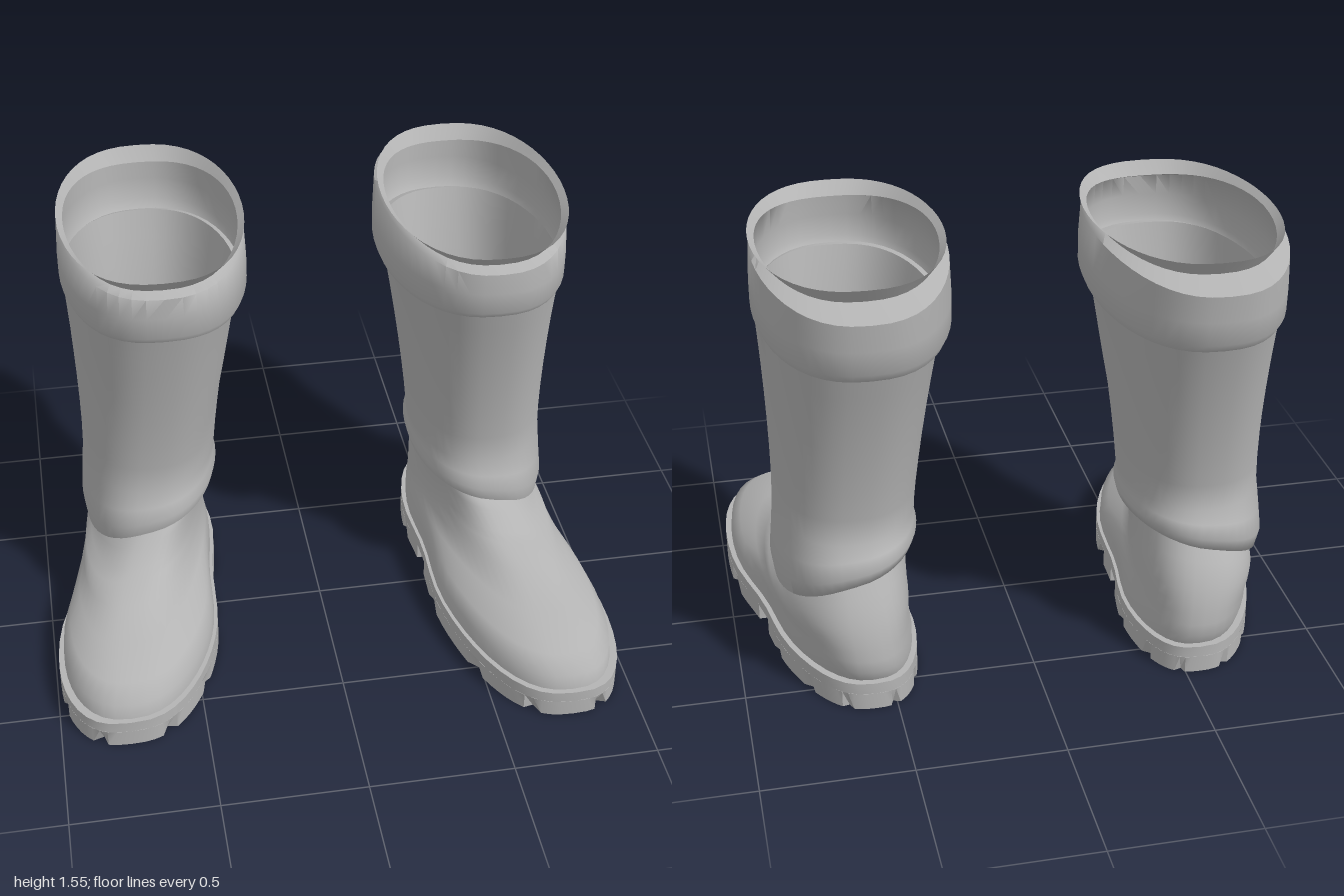
import * as THREE from 'three';
import { toCreasedNormals } from 'three/addons/utils/BufferGeometryUtils.js';

const SEG = 48;
const { lerp, smoothstep } = THREE.MathUtils;

// Egg-shaped ring: y, z, x and half width at its front (f) and back (b);
// sag lowers both sides, side tilts it outward, waist pinches the arch
function ring(r, power, from = 0, to = Math.PI * 2, count = SEG, last = count) {
  const { yf, yb, zf, zb, xf, xb, wf, wb, sag = 0, side = 0, waist = 0 } = r;
  return Array.from({ length: count }, (_, i) => {
    const t = lerp(from, to, i / last);
    const s = Math.sin(t), f = (1 + Math.cos(t)) / 2;
    const z = lerp(zb, zf, f);
    const w = lerp(wb, wf, f) - waist * Math.exp(-(((z + 0.08) / 0.2) ** 2));
    const x = lerp(xb, xf, f) + Math.sign(s) * Math.abs(s) ** power * w;
    return [x, lerp(yb, yf, f) + sag * s * s + side * s, z];
  });
}

// Skin a stack of equal-length closed rings, listed from bottom to top
function loft(rings, place, mirrored, crease) {
  const n = rings[0].length, index = [];
  for (let j = 0; j < rings.length - 1; j++) {
    for (let i = 0; i < n; i++) {
      const a = j * n + i, b = j * n + (i + 1) % n, c = b + n, d = a + n;
      if (mirrored) index.push(a, d, b, b, d, c);
      else index.push(a, b, d, b, c, d);
    }
  }
  const g = new THREE.BufferGeometry();
  g.setAttribute('position', new THREE.Float32BufferAttribute(rings.flat().flatMap(place), 3));
  g.setIndex(index);
  return toCreasedNormals(g, crease);
}

const atHeight = (points, y) => points.map(p => [p[0], y, p[2]]);

// A ring collapsed to its middle, closing a loft with a flat cap
function cap(points, y) {
  const mean = k => points.reduce((sum, p) => sum + p[k], 0) / points.length;
  const x = mean(0), z = mean(2);
  return points.map(() => [x, y, z]);
}

// Foot: height, z and half width along the top of the toe and instep;
// the heel rises evenly and curves in towards the ankle
function footRings() {
  const ridge = [
    [0.085, 0.765, 0.3], [0.155, 0.755, 0.295], [0.2, 0.69, 0.26],
    [0.225, 0.5, 0.205], [0.275, 0.33, 0.19], [0.312, 0.22, 0.195],
    [0.325, 0.165, 0.185], [0.385, 0.11, 0.19], [0.43, 0.05, 0.2],
  ];
  return ridge.map(([yf, zf, wf], j) => {
    const k = j / (ridge.length - 1);
    return {
      yf, zf, wf,
      yb: lerp(0.1, 0.43, k),
      zb: -0.645 + 0.095 * k ** 2.5 + (j === 0 ? 0.02 : 0),
      xf: 0.76 - 0.14 * k ** 1.7,
      xb: lerp(0.575, 0.61, k),
      wb: 0.243 - 0.038 * k ** 4,
      sag: -0.02 * smoothstep(k, 0.3, 0.5),
      side: -0.08 * k ** 3,
      waist: 0.03 * (1 - smoothstep(k, 0.15, 0.35)),
    };
  });
}

// Leather slumped over the ankle, lower on the outer side
function foldRings() {
  return [
    [0.435, 0.1, -0.59, 0.238, -0.08],
    [0.485, 0.112, -0.615, 0.248, -0.06],
    [0.533, 0.09, -0.595, 0.24, -0.03],
  ].map(([y, zf, zb, w, side]) => ({
    yf: y, yb: y + 0.015, zf, zb, xf: 0.62, xb: 0.617, wf: w, wb: w, sag: side / 3, side,
  }));
}

// Shaft widening steadily upwards
function shaftRings() {
  return Array.from({ length: 8 }, (_, j) => {
    const k = j / 7, flare = k ** 1.5;
    const x = lerp(0.612, 0.572, k), w = 0.238 + 0.06 * flare;
    return {
      yf: lerp(0.59, 1.33, k), yb: lerp(0.59, 1.28, k),
      zf: 0.065 + 0.147 * flare, zb: -0.56 - 0.155 * flare,
      xf: x, xb: x, wf: w, wb: w, sag: 0.02 * (1 - k) ** 6,
    };
  });
}

// Turned-over cuff ending in a rolled lip
function cuffRings() {
  return [
    [1.325, 1.27, 0.245, -0.74, 0.308, 0],
    [1.345, 1.3, 0.258, -0.762, 0.318, 0],
    [1.42, 1.38, 0.26, -0.768, 0.318, 0],
    [1.49, 1.47, 0.255, -0.775, 0.312, 0.04],
    [1.505, 1.5, 0.215, -0.665, 0.29, 0.03],
    [1.55, 1.55, 0.255, -0.7, 0.312, 0],
  ].map(([yf, yb, zf, zb, w, sag]) => ({
    yf, yb, zf, zb, xf: 0.56, xb: 0.563, wf: w, wb: w, sag,
  }));
}

const SOLE = {
  yf: 0, yb: 0, zf: 0.782, zb: -0.648, xf: 0.765, xb: 0.575, wf: 0.315, wb: 0.255, waist: 0.03,
};

function createBoot(mirrored, material) {
  const boot = new THREE.Group();
  boot.name = mirrored ? 'rightBoot' : 'leftBoot';

  // The right boot is mirrored, a little shorter and leans slightly inward
  const place = ([x, y, z]) => {
    if (!mirrored) return [x, y, z];
    const shift = 0.025 * Math.max(smoothstep(y, 0.4, 1.1), 1 - smoothstep(z, -0.3, 0.2));
    return [-x + shift, y, z - 0.02 - 0.09 * smoothstep(z, 0.1, 0.75)];
  };
  const add = (name, rings, crease) => {
    const mesh = new THREE.Mesh(loft(rings, place, mirrored, crease), material);
    mesh.name = name;
    boot.add(mesh);
  };

  const upper = [...footRings(), ...foldRings(), ...shaftRings(), ...cuffRings()];
  add('bootUpper', upper.map(r => ring(r, 0.82)), 1.1);

  // Welt slab, whose top is also the floor inside the boot
  const outline = ring(SOLE, 0.75);
  add('sole', [cap(outline, 0.06), atHeight(outline, 0.06), atHeight(outline, 0.1), cap(outline, 0.1)], 0.6);

  // Notched tread blocks under the ball and the heel
  const tread = (name, from, to) => {
    const edge = ring(SOLE, 0.75, from, to, 43, 42);
    const middle = cap(edge, 0);
    const notched = edge.map((p, i) => {
      const k = i % 7 === 3 ? 0.9 : 1;
      return [lerp(middle[i][0], p[0], k), 0, lerp(middle[i][2], p[2], k)];
    });
    add(name, [middle, notched, atHeight(edge, 0.06)], 0.6);
  };
  const angleAt = z => Math.acos((2 * (z - SOLE.zb)) / (SOLE.zf - SOLE.zb) - 1);
  const ball = angleAt(-0.03), heel = angleAt(-0.13);
  tread('ballTread', -ball, ball);
  tread('heelTread', heel, Math.PI * 2 - heel);
  return boot;
}

export function createModel() {
  const material = new THREE.MeshStandardMaterial({ color: 0xb4b4b4, side: THREE.DoubleSide });
  material.name = 'greyLeather';
  const pair = new THREE.Group();
  pair.name = 'bootPair';
  pair.add(createBoot(false, material), createBoot(true, material));
  return pair;
}
